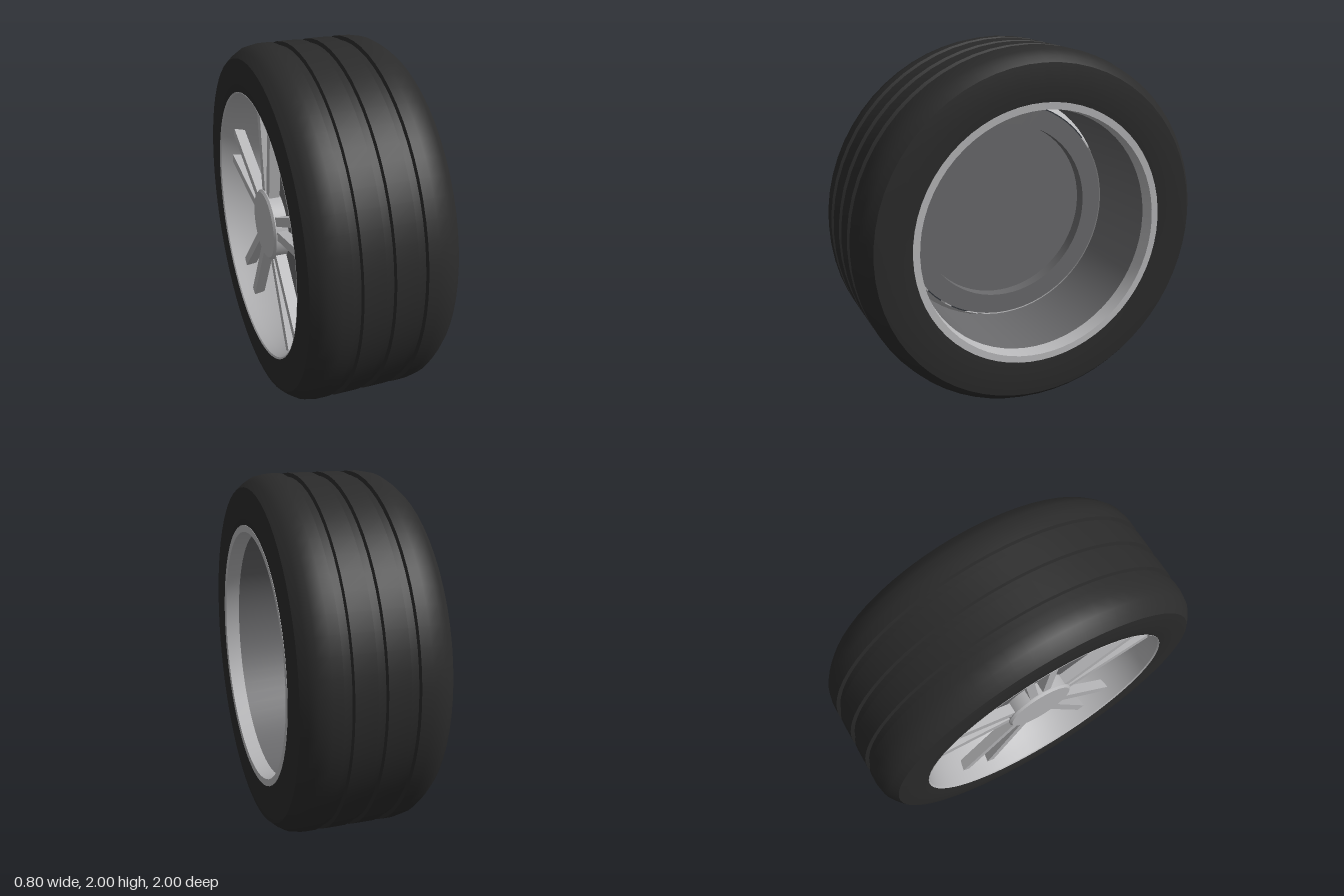
import * as THREE from 'three';
import { toCreasedNormals } from 'three/addons/utils/BufferGeometryUtils.js';

const SEGMENTS = 64;

// Surface of revolution about the x axis; profile is a list of [x, radius]
function turned(name, profile, material, crease = 0.6) {
  const points = profile.map(([x, r]) => new THREE.Vector2(r, x));
  const lathe = new THREE.LatheGeometry(points, SEGMENTS);
  lathe.rotateZ(-Math.PI / 2);
  const mesh = new THREE.Mesh(toCreasedNormals(lathe, crease), material);
  mesh.name = name;
  return mesh;
}

export function createModel() {
  const rubber = new THREE.MeshStandardMaterial({ color: 0x2b2b2b, side: THREE.DoubleSide });
  rubber.name = 'black rubber';
  const silver = new THREE.MeshStandardMaterial({ color: 0xb8b8ba, side: THREE.DoubleSide });
  silver.name = 'silver alloy';
  const gunmetal = new THREE.MeshStandardMaterial({ color: 0x6a6a6c, side: THREE.DoubleSide });
  gunmetal.name = 'dark grey metal';

  const model = new THREE.Group();
  model.name = 'wheel';
  const wheel = new THREE.Group();
  wheel.name = 'tyreAndRim';
  wheel.position.y = 1;
  model.add(wheel);

  // Tyre: sidewalls, rounded shoulders and three grooves around the tread
  const tread = [];
  for (const x of [-0.168, 0, 0.168]) {
    tread.push([x - 0.026, 1], [x - 0.02, 0.98], [x + 0.02, 0.98], [x + 0.026, 1]);
  }
  wheel.add(turned('tyre', [
    [-0.39, 0.75], [-0.4, 0.82], [-0.39, 0.932], [-0.355, 0.963], [-0.315, 0.988], [-0.25, 1],
    ...tread,
    [0.25, 1], [0.315, 0.988], [0.355, 0.963], [0.39, 0.932], [0.4, 0.82], [0.39, 0.725],
  ], rubber));

  // Outer dish of the rim, curving in behind the spokes
  wheel.add(turned('rimDish', [
    [-0.385, 0.757], [-0.392, 0.75], [-0.385, 0.742], [-0.34, 0.731], [-0.28, 0.714],
    [-0.22, 0.691], [-0.16, 0.666], [-0.1, 0.643],
  ], silver));

  // Inner lip and barrel
  wheel.add(turned('innerLip', [[0.37, 0.73], [0.392, 0.73], [0.39, 0.692], [0.31, 0.682]], silver));
  wheel.add(turned('barrel', [[0.31, 0.682], [-0.19, 0.68]], gunmetal));

  // Cupped disc closing the barrel
  wheel.add(turned('backDisc', [[-0.17, 0], [-0.17, 0.52], [-0.1, 0.52], [-0.1, 0.636]], gunmetal));

  // Hub with a bevelled edge
  wheel.add(turned('hub', [
    [-0.25, 0], [-0.25, 0.2], [-0.32, 0.2], [-0.332, 0.188], [-0.332, 0],
  ], silver, 0.4));

  // Five pairs of spokes, each pair opening out towards the rim
  const spokes = new THREE.Group();
  spokes.name = 'spokes';
  const base = { r: 0.16, offset: 0.035 };
  const tip = { r: 0.72, offset: 0.105 };
  const length = Math.hypot(tip.r - base.r, tip.offset - base.offset);
  const lean = Math.atan2(tip.offset - base.offset, tip.r - base.r);
  const spokeGeometry = new THREE.BoxGeometry(0.06, length, 0.05);
  for (let i = 0; i < 5; i++) {
    const pair = new THREE.Group();
    pair.name = 'spokePair';
    pair.rotation.x = (i / 5) * Math.PI * 2;
    for (const side of [-1, 1]) {
      const spoke = new THREE.Mesh(spokeGeometry, silver);
      spoke.name = 'spoke';
      spoke.position.set(-0.285, (base.r + tip.r) / 2, side * (base.offset + tip.offset) / 2);
      spoke.rotation.x = side * lean;
      pair.add(spoke);
    }
    spokes.add(pair);
  }
  wheel.add(spokes);

  return model;
}
